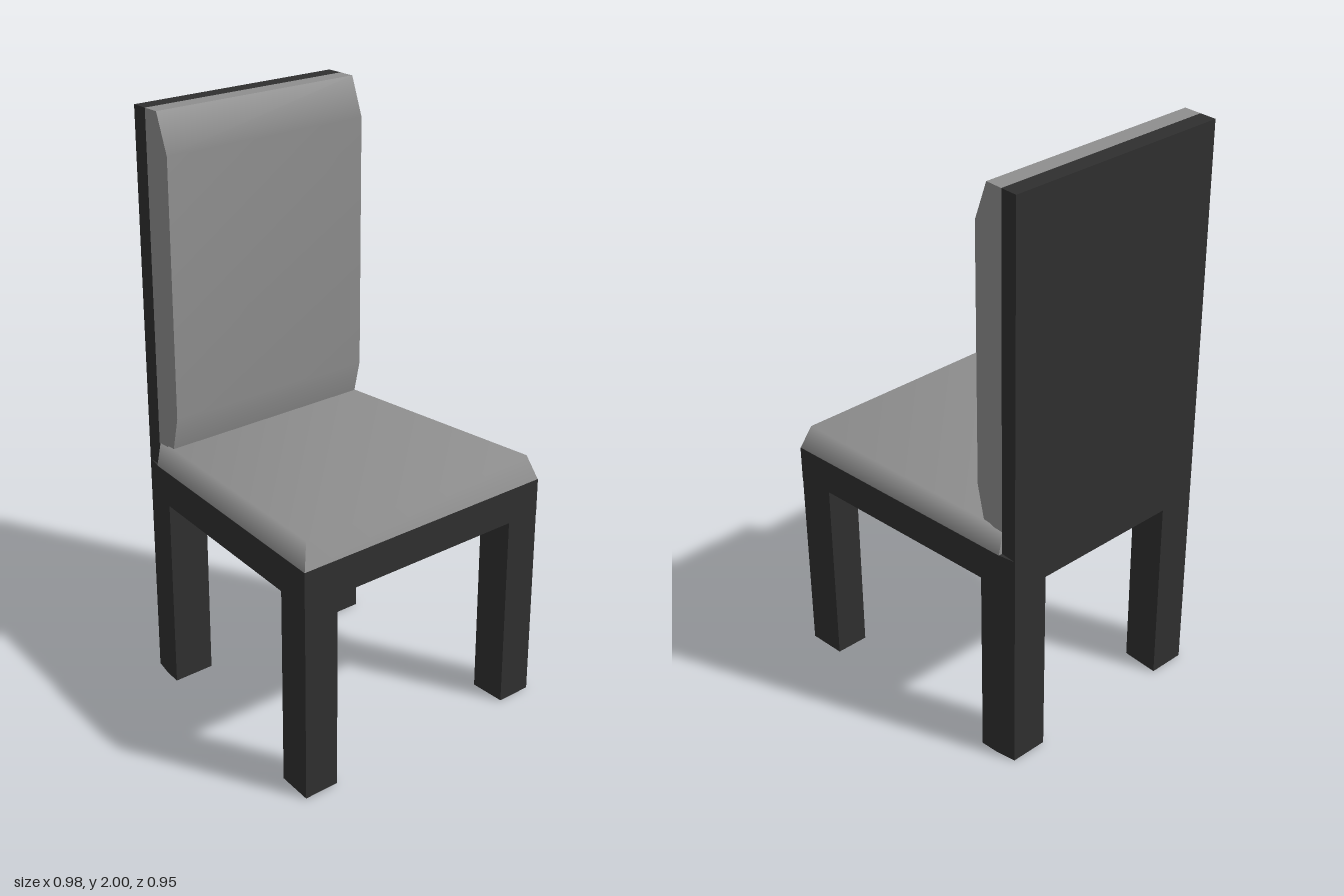
import * as THREE from 'three';

const frameMat = new THREE.MeshStandardMaterial({ color: 0x2f2f2f });
frameMat.name = 'dark frame';
const cushionMat = new THREE.MeshStandardMaterial({ color: 0x8e8e8e });
cushionMat.name = 'grey upholstery';

// Upright prism from a plan outline of [x, z] points
function prism(name, outline, y0, y1) {
  const shape = new THREE.Shape(outline.map(([x, z]) => new THREE.Vector2(x, z)));
  const geo = new THREE.ExtrudeGeometry(shape, { depth: y1 - y0, bevelEnabled: false });
  geo.rotateX(Math.PI / 2).translate(0, y1, 0);
  const mesh = new THREE.Mesh(geo, frameMat);
  mesh.name = name;
  return mesh;
}

// Cushion from corner points and convex faces; corners shared by index are smooth
function cushion(name, points, faces) {
  const geo = new THREE.BufferGeometry();
  geo.setAttribute('position', new THREE.Float32BufferAttribute(points.flat(), 3));
  const index = [];
  for (const f of faces) {
    for (let i = 1; i < f.length - 1; i++) index.push(f[0], f[i], f[i + 1]);
  }
  geo.setIndex(index);
  geo.computeVertexNormals();
  const mesh = new THREE.Mesh(geo, cushionMat);
  mesh.name = name;
  return mesh;
}

// Padded seat: flat top softened into sloping front and sides
function seatCushion() {
  const back = -0.415, y0 = 0.8, y1 = 0.885;
  const top = [[-0.462, y1, 0.44], [0.462, y1, 0.44], [0.385, y1, back], [-0.385, y1, back]];
  const base = [[-0.491, y0, 0.468], [0.491, y0, 0.468], [0.403, y0, back], [-0.403, y0, back]];
  const points = [...top];
  const faces = [[0, 1, 2, 3]];
  for (let i = 0; i < 4; i++) {
    const j = (i + 1) % 4, n = points.length;
    points.push(base[i], base[j]);
    faces.push([n, n + 1, j, i]);
  }
  return cushion('seatCushion', points, faces);
}

// Padded back: side profile of [z, y] points swept across the width
function backCushion() {
  const w = 0.39;
  const profile = [[-0.415, 0.88], [-0.335, 0.88], [-0.307, 1.0],
    [-0.307, 1.87], [-0.355, 2.0], [-0.415, 2.0]];
  const left = profile.map(([z, y]) => [w, y, z]);
  const right = profile.map(([z, y]) => [-w, y, z]);
  const points = [], faces = [];
  const add = (pts) => pts.map((p) => points.push(p) - 1);
  // soft front
  const l = add(left.slice(1, 5)), r = add(right.slice(1, 5));
  for (let i = 0; i < 3; i++) faces.push([r[i], l[i], l[i + 1], r[i + 1]]);
  // crisp underside, top and ends
  for (const [i, j] of [[0, 1], [4, 5]]) faces.push(add([right[i], left[i], left[j], right[j]]));
  faces.push(add([...left].reverse()), add(right));
  return cushion('backCushion', points, faces);
}

export function createModel() {
  const group = new THREE.Group();
  group.name = 'chair';

  // Tapered seat rail
  const side = [[0.39, -0.473], [0.405, -0.405], [0.492, 0.468]];
  const mirrored = side.map(([x, z]) => [-x, z]).reverse();
  group.add(prism('seatFrame', [...side, ...mirrored], 0.68, 0.8));

  // Upright back board
  group.add(prism('backBoard',
    [[-0.39, -0.473], [0.39, -0.473], [0.39, -0.415], [-0.39, -0.415]], 0.8, 2));

  // Four legs with outer faces following the seat taper
  const front = [[0.365, 0.34], [0.479, 0.34], [0.491, 0.468], [0.365, 0.468]];
  const rear = [[0.262, -0.473], [0.39, -0.473], [0.405, -0.405], [0.411, -0.342], [0.262, -0.342]];
  for (const s of [1, -1]) {
    const label = s > 0 ? 'Left' : 'Right';
    const flip = (o) => o.map(([x, z]) => [x * s, z]);
    group.add(prism('front' + label + 'Leg', flip(front), 0, 0.68));
    group.add(prism('rear' + label + 'Leg', flip(rear), 0, 0.68));
  }

  group.add(seatCushion(), backCushion());

  // The chair stands turned very slightly
  group.rotation.y = -0.0128;
  group.position.x = 0.004;
  return group;
}
